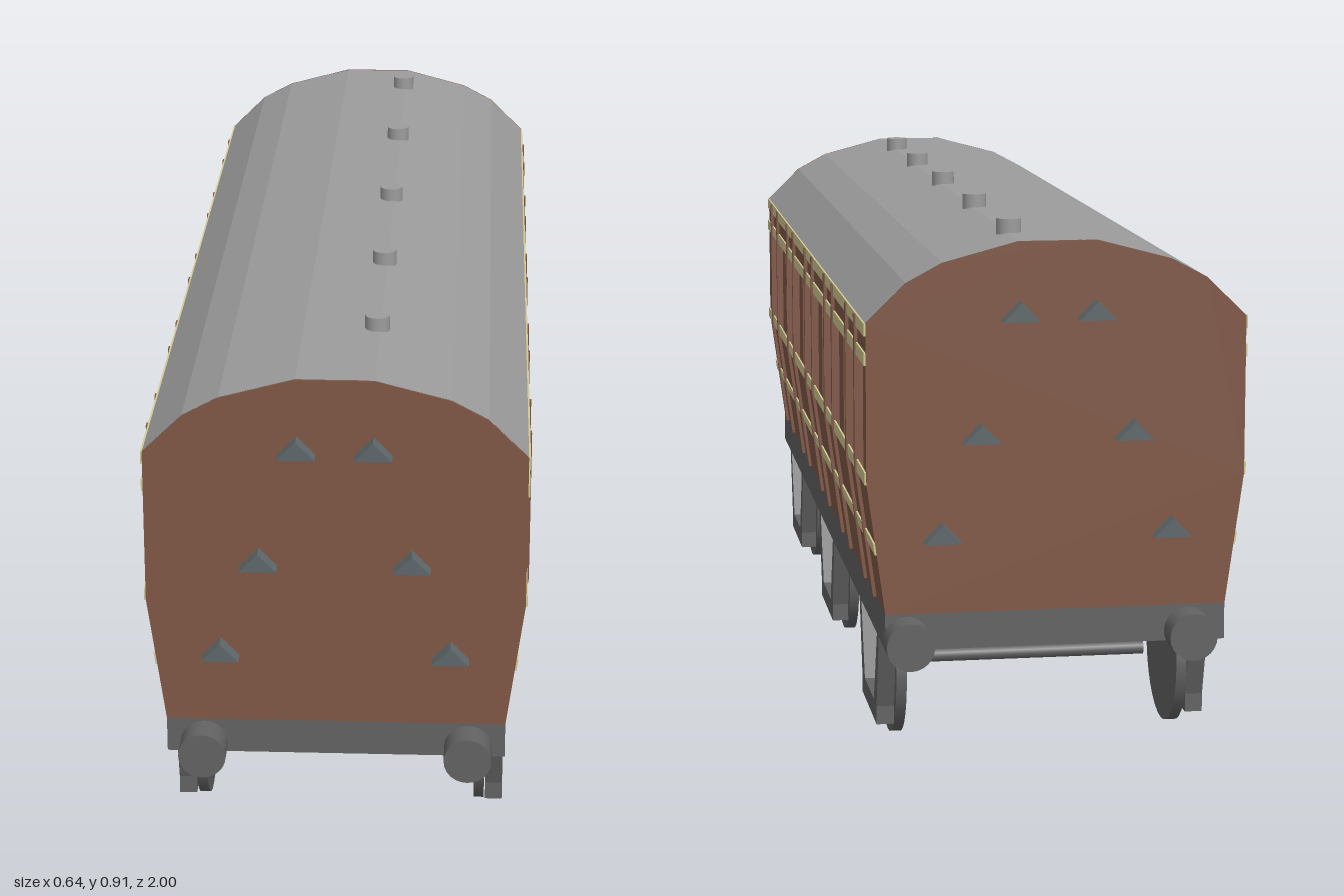
import * as THREE from 'three';

const paint = (name, color) => {
  const m = new THREE.MeshStandardMaterial({ color });
  m.name = name;
  return m;
};

export function createModel() {
  const brown = paint('brown panelling', 0x805847);
  const cream = paint('cream lining', 0xd2ca92);
  const grey = paint('roof grey', 0x9c9c9c);
  const dark = paint('dark underframe', 0x636363);
  const slate = paint('slate step', 0x5f686b);

  const model = new THREE.Group();
  model.name = 'railwayCarriage';
  const L = 0.947; // half length of the body

  const add = (parent, name, geo, mat, x = 0, y = 0, z = 0) => {
    const m = new THREE.Mesh(geo, mat);
    m.name = name;
    m.position.set(x, y, z);
    parent.add(m);
    return m;
  };
  const polygon = (pts) => new THREE.Shape(pts.map(([x, y]) => new THREE.Vector2(x, y)));
  const extrude = (shape, depth) => new THREE.ExtrudeGeometry(shape, { depth, bevelEnabled: false });
  const box = (w, h, d) => new THREE.BoxGeometry(w, h, d);
  const rod = (r, len, axis, seg = 24) => {
    const g = new THREE.CylinderGeometry(r, r, len, seg);
    if (axis === 'x') g.rotateZ(Math.PI / 2);
    if (axis === 'z') g.rotateX(Math.PI / 2);
    return g;
  };

  // Roof shell and end walls share one outline
  const arch = [[0.316, 0.755], [0.25, 0.82], [0.19, 0.852], [0.065, 0.885]];
  const mirror = (pts) => [...pts, ...pts.map(([x, y]) => [-x, y]).reverse()];
  const outer = mirror(arch);
  const inner = mirror(arch.map(([x, y]) => [x * 0.97, y - 0.009])).reverse();
  add(model, 'roof', extrude(polygon([...outer, ...inner]), 2 * L - 0.004), grey, 0, 0, -L + 0.002);
  const endShape = polygon(mirror([[0.286, 0.27], [0.316, 0.49], ...arch]));
  for (const s of [-1, 1]) {
    add(model, 'endWall', extrude(endShape, 0.005), brown, 0, 0, s * (L - 0.0015) - 0.0025);
    // Triangular steps on each end
    const wedge = polygon([[-0.031, 0], [0.031, 0], [0, 0.032]]);
    for (const [x, y] of [[0.063, 0.756], [0.127, 0.556], [0.192, 0.391]])
      for (const k of [-1, 1])
        add(model, 'endStep', extrude(wedge, 0.03), slate, k * x, y, s > 0 ? L : -L - 0.03);
  }

  // Roof ventilators pass through the shell
  for (const z of [0.695, 0.352, -0.025, -0.43, -0.815])
    add(model, 'roofVentilator', rod(0.021, 0.05, 'y', 16), grey, 0.06, 0.883, z);

  // A piece of side wall following the tumblehome, between two heights and two z values
  const wallX = (y) => (y < 0.49 ? 0.286 + (0.03 * (y - 0.27)) / 0.22 : 0.316);
  const wallPiece = (parent, name, mat, y0, y1, z0, z1, inset, out) => {
    const ys = y0 < 0.489 && y1 > 0.491 ? [y0, 0.49, y1] : [y0, y1];
    const pts = [
      ...ys.map((y) => [wallX(y) + out, y]),
      ...ys.slice().reverse().map((y) => [wallX(y) - inset, y]),
    ];
    add(parent, name, extrude(polygon(pts), z1 - z0), mat, 0, 0, z0);
  };

  // Both sides are the same, turned half way round
  const doors = [[0.688, 0.831], [0.313, 0.452], [-0.083, 0.056], [-0.457, -0.32], [-0.823, -0.687]];
  const posts = [0.57, 0.185, -0.2, -0.572];
  for (const side of [0, 1]) {
    const g = new THREE.Group();
    g.name = side ? 'rightSide' : 'leftSide';
    g.rotation.y = side * Math.PI;
    model.add(g);
    wallPiece(g, 'lowerPanel', brown, 0.27, 0.5, -L, L, 0.012, 0);
    wallPiece(g, 'upperPanel', brown, 0.69, 0.755, -L, L, 0.012, 0);
    for (const z of posts) wallPiece(g, 'windowPost', brown, 0.49, 0.7, z - 0.035, z + 0.035, 0.012, 0);
    for (const s of [-1, 1])
      wallPiece(g, 'cornerPost', brown, 0.49, 0.7, s * 0.927 - 0.02, s * 0.927 + 0.02, 0.012, 0);
    for (const [y0, y1] of [[0.734, 0.755], [0.686, 0.707], [0.488, 0.509], [0.37, 0.391]])
      wallPiece(g, 'liningBand', cream, y0, y1, -L, L, 0, 0.003);
    for (const pair of doors)
      for (const z of pair)
        wallPiece(g, 'doorEdge', brown, 0.272, 0.754, z - 0.007, z + 0.007, 0.012, 0.006);
  }

  // Underframe and floor
  add(model, 'underframe', box(0.572, 0.064, 2 * L), dark, 0, 0.24, 0);

  // Buffers
  for (const [x, s] of [[-0.223, 1], [0.223, 1], [-0.223, -1], [0.25, -1]])
    add(model, 'buffer', rod(0.04, 0.06, 'z'), dark, x, 0.225, s * 0.97);

  // Gas cylinders
  for (const x of [-0.158, 0.164])
    add(model, 'gasCylinder', rod(0.075, 0.25, 'z', 32), dark, x, 0.145, -0.35);

  // Axles, wheels and axle guards
  const guard = polygon([[-0.147, 0.21], [-0.107, 0.072], [-0.107, 0.04], [0.107, 0.04], [0.107, 0.072], [0.147, 0.21]]);
  guard.holes.push(new THREE.Path(
    [[-0.12, 0.209], [0.12, 0.209], [0.068, 0.074], [-0.068, 0.074]].map(([x, y]) => new THREE.Vector2(x, y))));
  const guardGeo = extrude(guard, 0.03).translate(0, 0, -0.015).rotateY(Math.PI / 2);
  for (const z of [0.683, 0.035, -0.692]) {
    add(model, 'axle', rod(0.012, 0.4, 'x', 12), dark, 0, 0.13, z);
    for (const s of [-1, 1]) {
      add(model, 'wheel', rod(0.126, 0.018, 'x', 32), dark, s * 0.243, 0.127, z);
      add(model, 'axleGuard', guardGeo, dark, s * 0.269, 0, z);
    }
  }
  return model;
}
